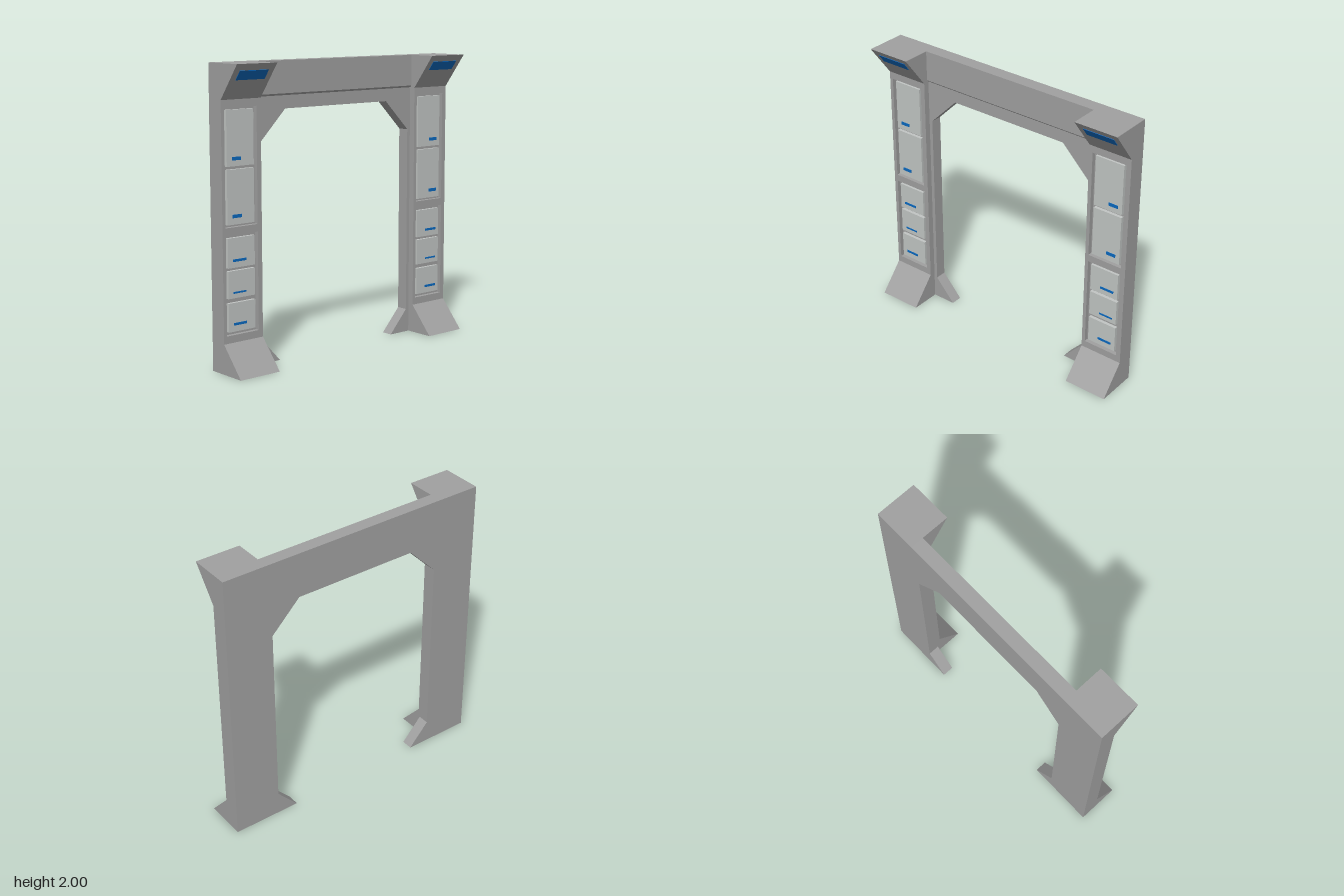
import * as THREE from 'three';

const body = new THREE.MeshStandardMaterial({ color: 0xa0a0a0 });
body.name = 'bodyGrey';
const panel = new THREE.MeshStandardMaterial({ color: 0xc1c5c3 });
panel.name = 'panelLightGrey';
const blue = new THREE.MeshStandardMaterial({ color: 0x0a68be });
blue.name = 'markerBlue';

const BACK = -0.15, FACE = -0.025, FLOOR = -0.055, WIDTH = 0.315;

const shapeOf = (pts) => new THREE.Shape(pts.map(([x, y]) => new THREE.Vector2(x, y)));
const rect = (x0, x1, y0, y1) => [[x0, y0], [x1, y0], [x1, y1], [x0, y1]];
const extrude = (shape, depth) => new THREE.ExtrudeGeometry(shape, { depth, bevelEnabled: false });

function add(parent, name, geometry, material) {
  const mesh = new THREE.Mesh(geometry, material);
  mesh.name = name;
  parent.add(mesh);
  return mesh;
}

// Side profile given as [z, y], swept from x0 to x1
function sweepX(profile, x0, x1) {
  return extrude(shapeOf(profile), x1 - x0).rotateY(-Math.PI / 2).translate(x1, 0, 0);
}

// Box given by its limits
function boxOf(x0, x1, y0, y1, z0, z1) {
  return new THREE.BoxGeometry(x1 - x0, y1 - y0, z1 - z0)
    .translate((x0 + x1) / 2, (y0 + y1) / 2, (z0 + z1) / 2);
}

// Recesses [bottom, top]
const recesses = [[0.955, 1.72], [0.25, 0.905]];
// Raised panels: [bottom, top, marker bottom, marker top, marker width]
const panels = [
  [1.345, 1.705, 1.383, 1.405, 0.07],
  [0.97, 1.325, 1.013, 1.035, 0.07],
  [0.69, 0.885, 0.729, 0.745, 0.102],
  [0.49, 0.67, 0.521, 0.532, 0.102],
  [0.27, 0.46, 0.311, 0.327, 0.102],
];

function makeColumn(side) {
  const column = new THREE.Group();
  column.name = side > 0 ? 'leftColumn' : 'rightColumn';
  const x0 = side > 0 ? 0.685 : -1;

  // Core with flared foot and flared head
  add(column, 'columnCore', sweepX([
    [BACK, 0], [0.15, 0], [FACE, 0.2], [FLOOR, 0.2],
    [FLOOR, 1.77], [FACE, 1.77], [0.15, 2], [BACK, 2],
  ], x0, x0 + WIDTH), body);

  // Front plate with two recesses cut through it
  const face = shapeOf(rect(x0, x0 + WIDTH, 0.2, 1.77));
  for (const [y0, y1] of recesses) {
    const hole = rect(x0 + 0.025, x0 + 0.281, y0, y1).map(([x, y]) => new THREE.Vector2(x, y));
    face.holes.push(new THREE.Path(hole.reverse()));
  }
  add(column, 'columnFace', extrude(face, FACE - FLOOR).translate(0, 0, FLOOR), body);

  // Raised panels, each with a thin marker near the outer edge
  for (const [y0, y1, m0, m1, w] of panels) {
    add(column, 'panel', boxOf(x0 + 0.046, x0 + 0.26, y0, y1, FLOOR, -0.032), panel);
    const outer = side * 0.914, inner = side * (0.914 - w);
    add(column, 'panelMarker',
      boxOf(Math.min(outer, inner), Math.max(outer, inner), m0, m1, -0.032, -0.028), blue);
  }

  // Sign plate lying on the sloped head
  const sign = add(column, 'headSign', new THREE.BoxGeometry(0.226, 0.075, 0.006), blue);
  sign.position.set(side * 0.842, 1.9275, 0.095);
  sign.rotation.x = Math.atan2(0.175, 0.23);
  return column;
}

export function createModel() {
  const gate = new THREE.Group();
  gate.name = 'gate';

  // Thin arch with chamfered upper corners and splayed feet
  const half = [[0.685, 0], [0.51, 0], [0.66, 0.165], [0.66, 1.475], [0.45, 1.685]];
  const mirrored = half.map(([x, y]) => [-x, y]).reverse();
  const arch = shapeOf([...half, ...mirrored, [-0.685, 2], [0.685, 2]]);
  add(gate, 'arch', extrude(arch, 0.082).translate(0, 0, BACK), body);

  // Slightly thicker crossbeam with a small sloped underside
  add(gate, 'crossbeam', sweepX([
    [-0.068, 1.772], [FLOOR, 1.785], [FLOOR, 2], [-0.068, 2],
  ], -0.685, 0.685), body);

  for (const side of [-1, 1]) gate.add(makeColumn(side));
  return gate;
}
